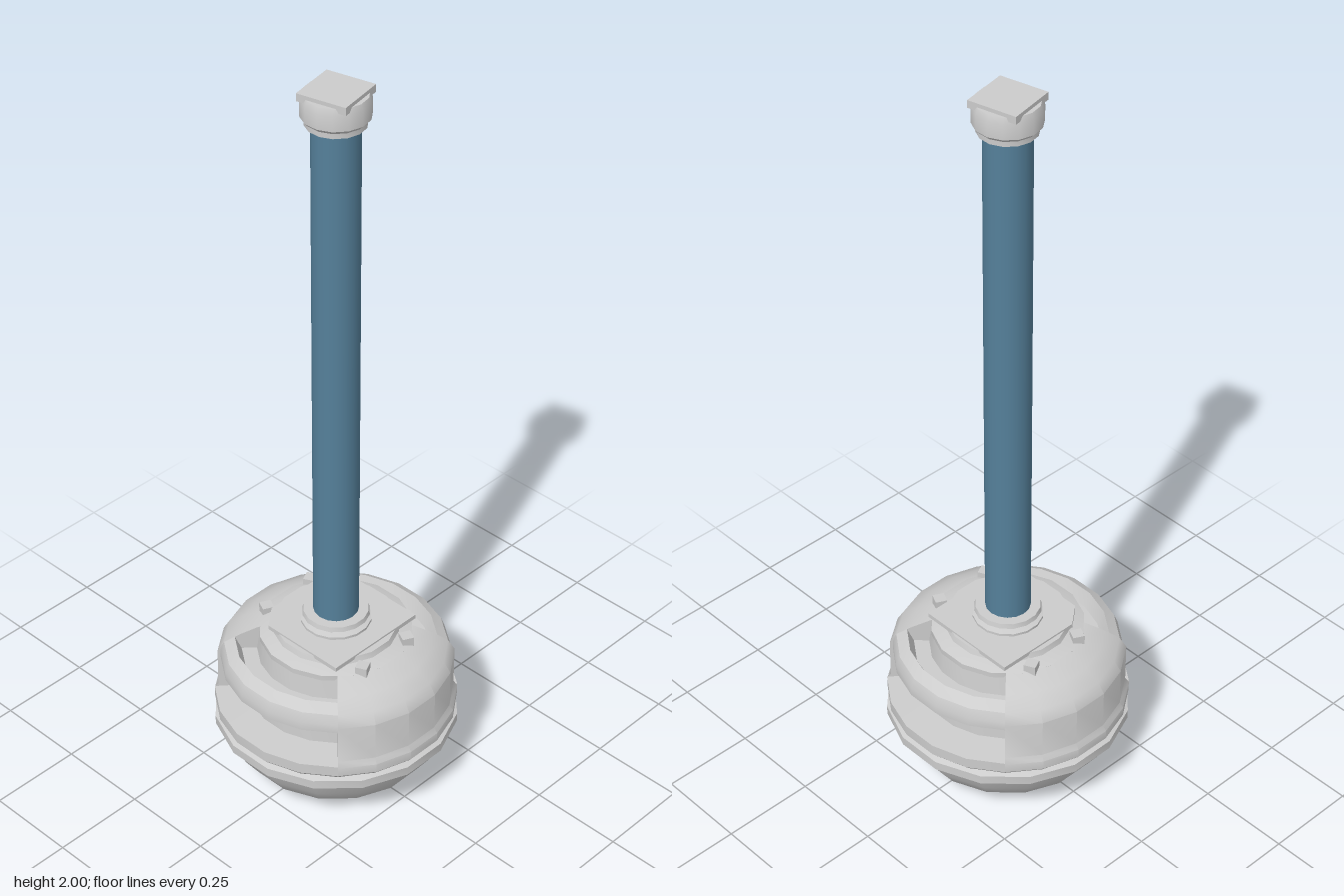
import * as THREE from 'three';
import { toCreasedNormals } from 'three/addons/utils/BufferGeometryUtils.js';

const grey = new THREE.MeshStandardMaterial({ color: 0xcccccc, side: THREE.DoubleSide });
const blue = new THREE.MeshStandardMaterial({ color: 0x55809a });

const points = (list) => list.map(([r, y]) => new THREE.Vector2(r, y));

function add(parent, name, geometry, material = grey) {
  const mesh = new THREE.Mesh(geometry, material);
  mesh.name = name;
  parent.add(mesh);
  return mesh;
}

function turned(parent, name, profile, sides = 16, start = Math.PI / sides, sweep = Math.PI * 2) {
  const lathe = new THREE.LatheGeometry(points(profile), sides, start, sweep);
  return add(parent, name, toCreasedNormals(lathe, 0.6));
}

export function createModel() {
  const group = new THREE.Group();

  // Rounded bowl with a rim band
  turned(group, 'bowl', [
    [0, 0], [0.13, 0.003], [0.2, 0.02], [0.25, 0.06], [0.285, 0.11], [0.305, 0.155],
    [0.322, 0.162], [0.322, 0.187], [0.305, 0.195], [0.305, 0.2], [0, 0.2],
  ]);

  // Housing: solid at the sides, windowed and grooved at front and back
  const solid = [
    [0.14, 0.19], [0.305, 0.19], [0.318, 0.205], [0.318, 0.23], [0.308, 0.245], [0.308, 0.355],
    [0.29, 0.385], [0.25, 0.41], [0.2, 0.435], [0.14, 0.44],
  ];
  const windowed = [
    [0.14, 0.19], [0.305, 0.19], [0.318, 0.205], [0.318, 0.235], [0.232, 0.24], [0.225, 0.335],
    [0.3, 0.335], [0.3, 0.36], [0.29, 0.385], [0.262, 0.403], [0.245, 0.365], [0.205, 0.365],
    [0.195, 0.435], [0.14, 0.44],
  ];
  const quarter = Math.PI / 2;
  for (let i = 0; i < 4; i++) {
    const start = i * quarter - quarter / 2;
    const name = ['frontWindow', 'leftWall', 'backWindow', 'rightWall'][i];
    turned(group, name, i % 2 ? solid : windowed, 5, start, quarter);
    // Flat wall closing the end of each solid quarter
    const end = add(group, 'wallEnd', new THREE.ShapeGeometry(new THREE.Shape(points(solid))));
    end.rotation.y = start - quarter;
  }

  // Stepped discs under the mounting plate
  turned(group, 'steppedDisc', [
    [0.2, 0.42], [0.2, 0.435], [0.185, 0.44], [0.165, 0.445], [0.16, 0.46], [0, 0.46],
  ]);

  // Mounting plate with one clipped corner
  const plateShape = new THREE.Shape(points([
    [-0.145, 0.15], [-0.145, -0.09], [-0.1, -0.145], [0.14, -0.145], [0.14, 0.15],
  ]));
  const plate = add(group, 'mountingPlate',
    new THREE.ExtrudeGeometry(plateShape, { depth: 0.012, bevelEnabled: false }));
  plate.rotation.x = -Math.PI / 2;
  plate.position.y = 0.453;

  // Four square bolts on the shoulder
  for (const sx of [-1, 1]) {
    for (const sz of [-1, 1]) {
      const bolt = add(group, 'bolt', new THREE.BoxGeometry(0.031, 0.03, 0.031));
      bolt.position.set(sx * 0.172, 0.441, sz * 0.081);
      bolt.rotation.y = sx * sz * 0.45;
    }
  }

  // Collar around the foot of the rod
  turned(group, 'collar', [
    [0.092, 0.45], [0.092, 0.472], [0.075, 0.476], [0.075, 0.483], [0.088, 0.487], [0.085, 0.5],
    [0.05, 0.5],
  ], 16);

  // Rod
  const rod = add(group, 'rod', new THREE.CylinderGeometry(0.059, 0.059, 1.48, 16, 1), blue);
  rod.position.y = 1.2;

  // End cap with a square top face
  turned(group, 'endCap', [
    [0.05, 1.91], [0.074, 1.912], [0.074, 1.925], [0.084, 1.935], [0.084, 1.975], [0.078, 1.99],
    [0, 1.99],
  ], 14);
  const top = add(group, 'capTop', new THREE.BoxGeometry(0.131, 0.02, 0.131));
  top.position.y = 1.99;
  top.rotation.y = 0.22;

  return group;
}
